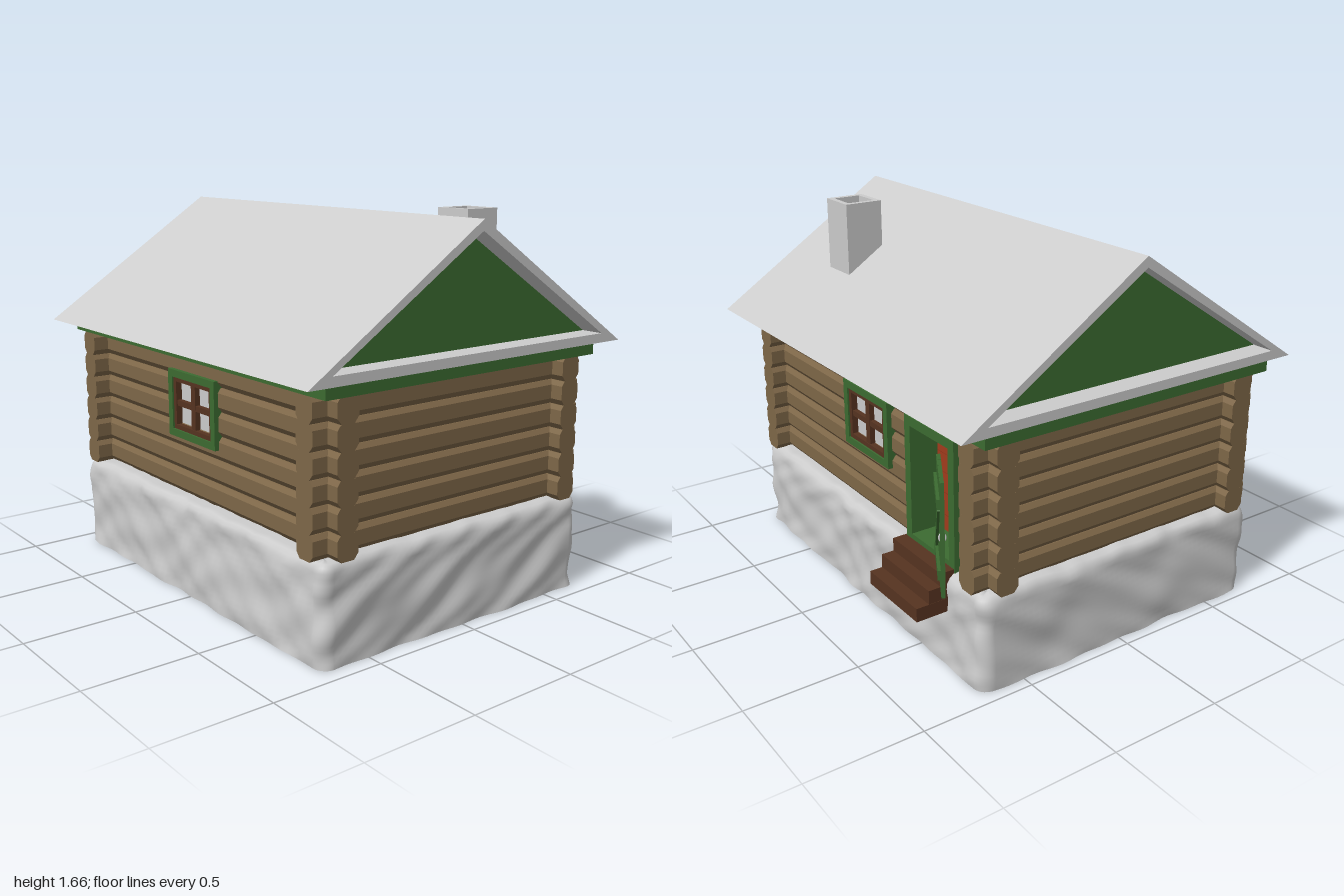
import * as THREE from 'three';

const mat = (color, side = THREE.FrontSide) => new THREE.MeshStandardMaterial({ color, side });
const GREY = mat(0xcccccc), STONE = mat(0xcccccc, THREE.DoubleSide);
const GREEN = mat(0x3c6b31), LOG = mat(0x7e6748), BROWN = mat(0x563320), RED = mat(0x913418);

function add(parent, name, geometry, material, x = 0, y = 0, z = 0) {
  const mesh = new THREE.Mesh(geometry, material);
  mesh.name = name;
  mesh.position.set(x, y, z);
  parent.add(mesh);
  return mesh;
}

// Box given by its minimum and maximum on each axis
function box(parent, name, material, x0, x1, y0, y1, z0, z1) {
  return add(parent, name, new THREE.BoxGeometry(x1 - x0, y1 - y0, z1 - z0), material,
    (x0 + x1) / 2, (y0 + y1) / 2, (z0 + z1) / 2);
}

const polygon = (points) => new THREE.Shape(points.map(([x, y]) => new THREE.Vector2(x, y)));
const extrude = (shape, depth) => new THREE.ExtrudeGeometry(shape, { depth, bevelEnabled: false });
const rect = (x0, x1, y0, y1) => polygon([[x0, y0], [x1, y0], [x1, y1], [x0, y1]]);

// Rectangular frame with an opening, from z0 to z1
function frame(parent, name, material, x0, x1, y0, y1, t, z0, z1) {
  const shape = rect(x0, x1, y0, y1);
  shape.holes.push(rect(x0 + t, x1 - t, y0 + t, y1 - t));
  add(parent, name, extrude(shape, z1 - z0), material, 0, 0, z0);
}

// Uneven stone base: a rounded rectangle swept upwards, open below
function stoneBase() {
  const outline = [], r = 0.06, hx = 0.94, hz = 0.715, straight = 44, arc = 8;
  const corners = [[1, 1], [-1, 1], [-1, -1], [1, -1]];
  corners.forEach(([sx, sz], k) => {
    const cx = sx * (hx - r), cz = sz * (hz - r);
    for (let i = 0; i <= arc; i++) {
      const a = (k + i / arc) * Math.PI / 2;
      outline.push([cx + r * Math.cos(a), cz + r * Math.sin(a), Math.cos(a), Math.sin(a)]);
    }
    const [nx, nz] = corners[(k + 1) % 4];
    const last = outline[outline.length - 1];
    const ex = nx * (hx - r) + r * last[2], ez = nz * (hz - r) + r * last[3];
    for (let i = 1; i < straight; i++) {
      const t = i / straight;
      outline.push([last[0] + (ex - last[0]) * t, last[1] + (ez - last[1]) * t, last[2], last[3]]);
    }
  });
  const rows = [];
  for (let i = 0; i <= 16; i++) rows.push([0.385 * i / 16, 0]);
  rows.push([0.405, 0.008], [0.418, 0.022], [0.423, 0.045], [0.423, 0.1]);
  const bump = (x, y, z) =>
    0.005 * Math.sin(9 * x + 17 * y + 5 * z + 1.5 * Math.sin(11 * z + 6 * x)) +
    0.004 * Math.sin(17 * x - 31 * y - 15 * z + 2 * Math.sin(7 * x)) +
    0.003 * Math.sin(29 * x + 43 * y + 27 * z + Math.sin(19 * y));
  const position = [], index = [], n = outline.length;
  rows.forEach(([y, inset], j) => outline.forEach(([x, z, nx, nz], i) => {
    const d = bump(x, y, z) - inset;
    const lift = j > 15 ? 0.5 * bump(x * 2, 0.3, z * 2) : 0;
    position.push(x + nx * d - 0.01, y + lift, z + nz * d + 0.015);
    if (j < rows.length - 1) {
      const a = j * n + i, b = j * n + (i + 1) % n;
      index.push(a, a + n, b, b, a + n, b + n);
    }
  }));
  const g = new THREE.BufferGeometry();
  g.setAttribute('position', new THREE.Float32BufferAttribute(position, 3));
  g.setIndex(index);
  g.computeVertexNormals();
  return g;
}

const COURSE = 0.105, COURSES = 6, WALL_Y = 0.42;
const logProfile = polygon([[-0.03, 0], [0.03, 0], [0.05, 0.025], [0.05, 0.085],
  [0.035, COURSE], [-0.035, COURSE], [-0.05, 0.085], [-0.05, 0.025]]);

// One log wall; gaps are [from, to, firstCourse, lastCourse]
function logWall(parent, name, alongX, offset, from, to, gaps = []) {
  const wall = new THREE.Group();
  wall.name = name;
  parent.add(wall);
  for (let i = 0; i < COURSES; i++) {
    let start = from;
    const cuts = gaps.filter((g) => i >= g[2] && i <= g[3]).sort((a, b) => a[0] - b[0]);
    for (const [stop, next] of [...cuts, [to, to]]) {
      const y = WALL_Y + i * COURSE;
      const log = add(wall, 'log', extrude(logProfile, stop - start), LOG,
        alongX ? start : offset, y, alongX ? offset : start);
      if (alongX) log.rotation.y = Math.PI / 2;
      start = next;
    }
  }
}

// Four-pane window facing +z, with its outer face at z = 0
function makeWindow(name) {
  const g = new THREE.Group();
  g.name = name;
  frame(g, 'windowCasing', GREEN, -0.183, 0.183, 0.68, 0.975, 0.032, -0.12, 0);
  frame(g, 'windowSash', BROWN, -0.153, 0.153, 0.71, 0.945, 0.022, -0.07, -0.008);
  box(g, 'windowMullion', BROWN, -0.016, 0.016, 0.72, 0.94, -0.06, -0.012);
  box(g, 'windowBar', BROWN, -0.14, 0.14, 0.815, 0.84, -0.06, -0.014);
  box(g, 'windowPane', GREY, -0.14, 0.14, 0.72, 0.94, -0.042, -0.036);
  return g;
}

// Open plank door, hinged at its local origin
function makeDoor() {
  const g = new THREE.Group(), w = 0.26, y0 = 0.46, y1 = 0.93, planks = 5;
  g.name = 'door';
  for (let i = 0; i < planks; i++) {
    box(g, 'doorPlank', GREEN, i * w / planks + 0.001, (i + 1) * w / planks - 0.001, y0, y1, -0.008, 0.008);
  }
  for (const y of [0.55, 0.84]) box(g, 'doorBatten', GREEN, 0.01, w - 0.01, y - 0.02, y + 0.02, 0.008, 0.02);
  const brace = add(g, 'doorBrace', new THREE.BoxGeometry(0.33, 0.035, 0.01), GREEN, w / 2, 0.695, 0.013);
  brace.rotation.z = Math.atan2(0.25, 0.2);
  for (const s of [-1, 1]) {
    const handle = add(g, 'doorHandle', new THREE.TorusGeometry(0.02, 0.004, 6, 12, Math.PI), GREY, w - 0.025, 0.7, s * 0.008);
    handle.rotation.set(0, s * -Math.PI / 2, Math.PI / 2, 'YXZ');
    handle.rotation.order = 'YXZ';
  }
  return g;
}

export function createModel() {
  const model = new THREE.Group();
  model.name = 'logCabin';

  add(model, 'stoneBase', stoneBase(), STONE);

  // Floor
  box(model, 'floorBase', BROWN, -0.83, 0.81, 0.425, 0.438, -0.57, 0.59);
  for (let i = 0; i < 10; i++) {
    const z = -0.57 + i * 0.116;
    box(model, 'floorBoard', RED, -0.82, 0.8, 0.438, 0.45, z + 0.002, z + 0.114);
  }

  // Log walls
  const windowX = -0.033, gap = [windowX - 0.165, windowX + 0.165, 3, 4];
  logWall(model, 'frontWall', true, 0.615, -0.965, 0.94, [gap]);
  logWall(model, 'backWall', true, -0.595, -0.965, 0.94, [gap, [-0.69, -0.38, 0, 4]]);
  logWall(model, 'leftWall', false, 0.832, -0.71, 0.735);
  logWall(model, 'rightWall', false, -0.857, -0.71, 0.735);

  // Windows
  const front = makeWindow('frontWindow');
  front.position.set(windowX, 0, 0.685);
  const back = makeWindow('backWindow');
  back.position.set(windowX, 0, -0.667);
  back.rotation.y = Math.PI;
  model.add(front, back);

  // Doorway, door and steps
  frame(model, 'doorFrame', GREEN, -0.715, -0.36, 0.42, 0.98, 0.04, -0.67, -0.54);
  const door = makeDoor();
  door.position.set(-0.675, 0, -0.712);
  door.rotation.y = THREE.MathUtils.degToRad(150);
  model.add(door);
  [[0.26, -0.845], [0.32, -0.788], [0.378, -0.732]].forEach(([y, z]) =>
    box(model, 'step', BROWN, -0.71, -0.35, y, y + 0.059, z, -0.66));

  // Ceiling slab shown as a band above the logs
  box(model, 'eavesBand', GREEN, -0.98, 0.96, 1.05, 1.107, -0.71, 0.735);

  // Roof shell and recessed gables, in profile (z, y) extruded along x
  const roofShape = polygon([[-0.825, 1.105], [0.845, 1.105], [0.01, 1.655]]);
  const gable = [[-0.71, 1.145], [0.735, 1.145], [0.012, 1.61]];
  roofShape.holes.push(polygon(gable));
  const roof = add(model, 'roof', extrude(roofShape, 2), GREY, 1);
  roof.rotation.y = -Math.PI / 2;
  const gables = add(model, 'gables', extrude(polygon(gable), 1.8), GREEN, 0.9);
  gables.rotation.y = -Math.PI / 2;

  // Hollow chimney
  const flue = rect(0.43, 0.61, 0.29, 0.465);
  flue.holes.push(rect(0.455, 0.585, 0.315, 0.44));
  const chimney = add(model, 'chimney', extrude(flue, 0.36), GREY, 0, 1.3);
  chimney.rotation.x = -Math.PI / 2;

  // The profile runs along +z, so flip the extrusions to lie between x = -1 and x = 1
  return model;
}
